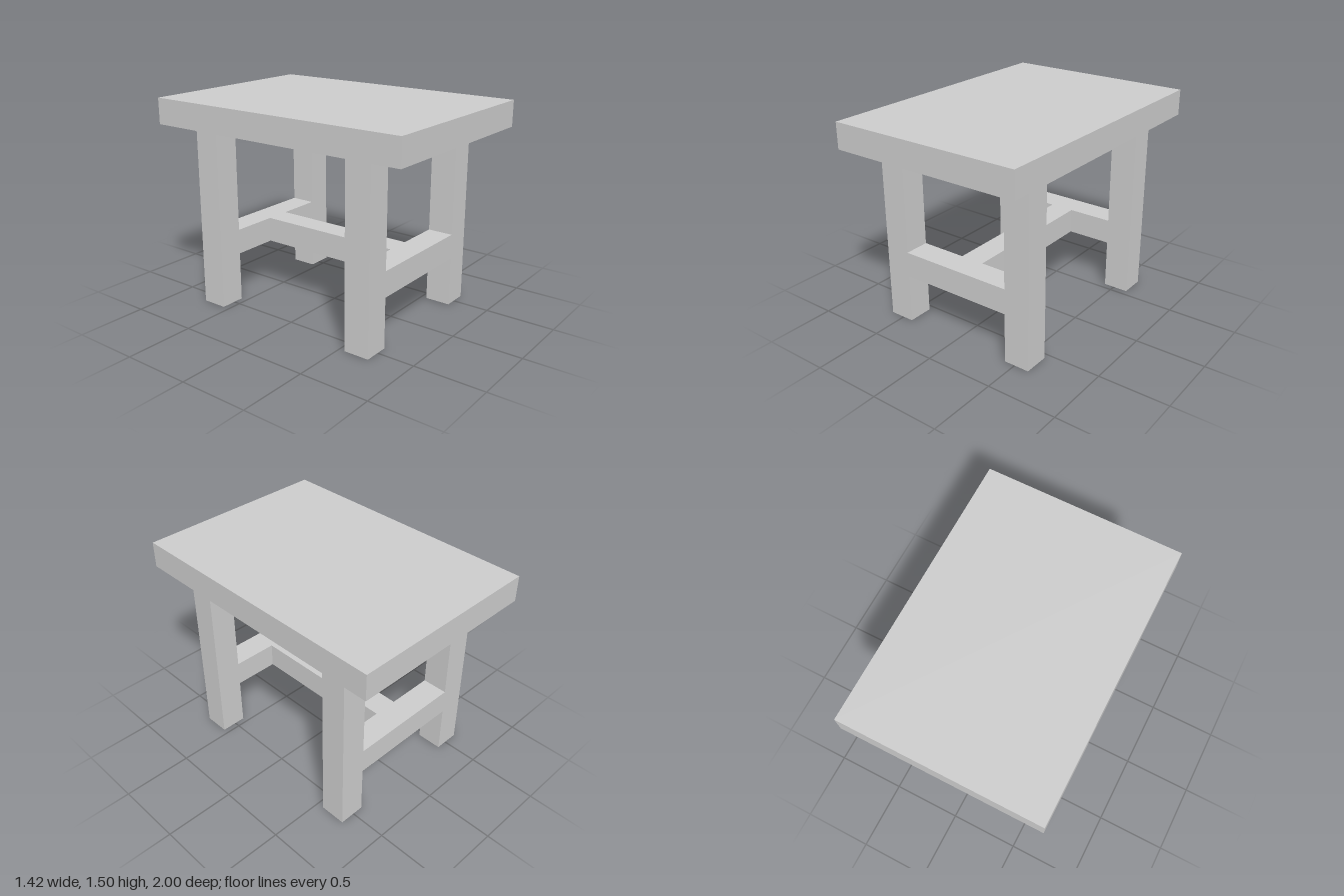
import * as THREE from 'three';

const material = new THREE.MeshStandardMaterial({ color: 0xcccccc, flatShading: true });

// Box given by its lower and upper limits on each axis
function beam(name, [x0, x1], [y0, y1], [z0, z1]) {
  const mesh = new THREE.Mesh(new THREE.BoxGeometry(x1 - x0, y1 - y0, z1 - z0), material);
  mesh.name = name;
  mesh.position.set((x0 + x1) / 2, (y0 + y1) / 2, (z0 + z1) / 2);
  return mesh;
}

export function createModel() {
  const table = new THREE.Group();
  table.name = 'table';

  const top = 1.5, underside = 1.313;
  const inner = 0.421, outer = 0.608;
  const railY = [0.36, 0.543];
  const ends = { front: [0.542, 0.728], back: [-0.737, -0.551] };

  // Thick slab top
  table.add(beam('tableTop', [-0.708, 0.708], [underside, top], [-1, 1]));

  // Each end: two square legs joined by a flush rail
  for (const [end, z] of Object.entries(ends)) {
    table.add(beam(end + 'LeftLeg', [inner, outer], [0, underside], z));
    table.add(beam(end + 'RightLeg', [-outer, -inner], [0, underside], z));
    table.add(beam(end + 'Rail', [-inner, inner], railY, z));
  }

  // Long stretcher between the two rails
  table.add(beam('stretcher', [-0.085, 0.092], railY, [ends.back[1], ends.front[0]]));

  return table;
}
